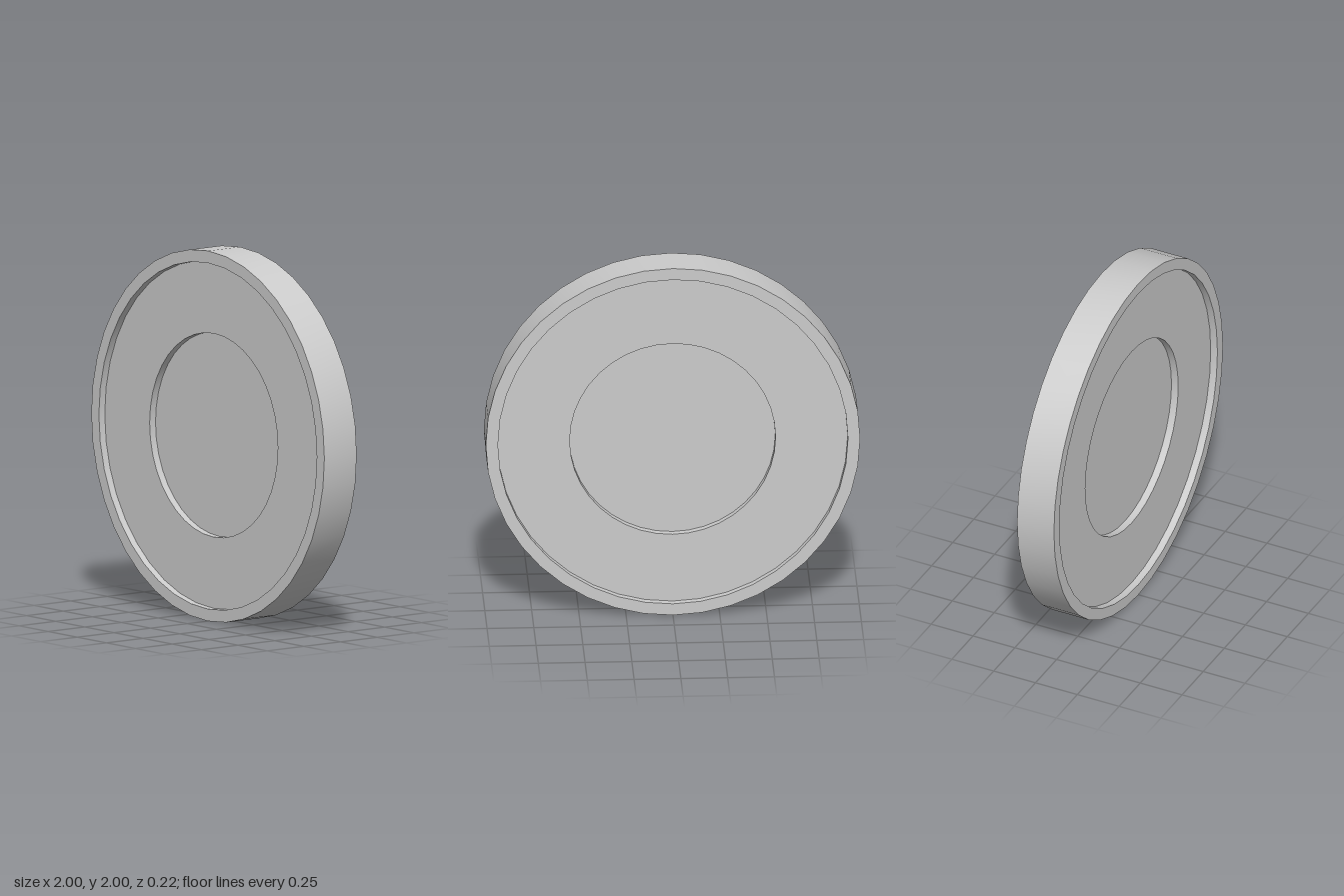
import * as THREE from 'three';
import { toCreasedNormals } from 'three/addons/utils/BufferGeometryUtils.js';

export function createModel() {
  const group = new THREE.Group();
  group.name = 'disc';

  // Front half of the profile [radius, depth]: outer rim, web, centre recess
  const half = [
    [1, 0.11], [0.935, 0.11],
    [0.935, 0.07], [0.55, 0.07],
    [0.55, 0.03], [0, 0.03],
  ];
  // Mirror it for the back, running from the back centre to the front centre
  const back = half.map(([r, d]) => [r, -d]).reverse();
  const profile = [...back, ...half].map(([r, d]) => new THREE.Vector2(r, d));

  // Turn the profile, then stand the disc upright with its axis along z
  const lathe = new THREE.LatheGeometry(profile, 40);
  lathe.rotateX(Math.PI / 2);

  const disc = new THREE.Mesh(
    toCreasedNormals(lathe, Math.PI / 6),
    new THREE.MeshStandardMaterial({ color: 0xcccccc })
  );
  disc.name = 'recessedDisc';
  disc.position.y = 1;
  group.add(disc);
  return group;
}
